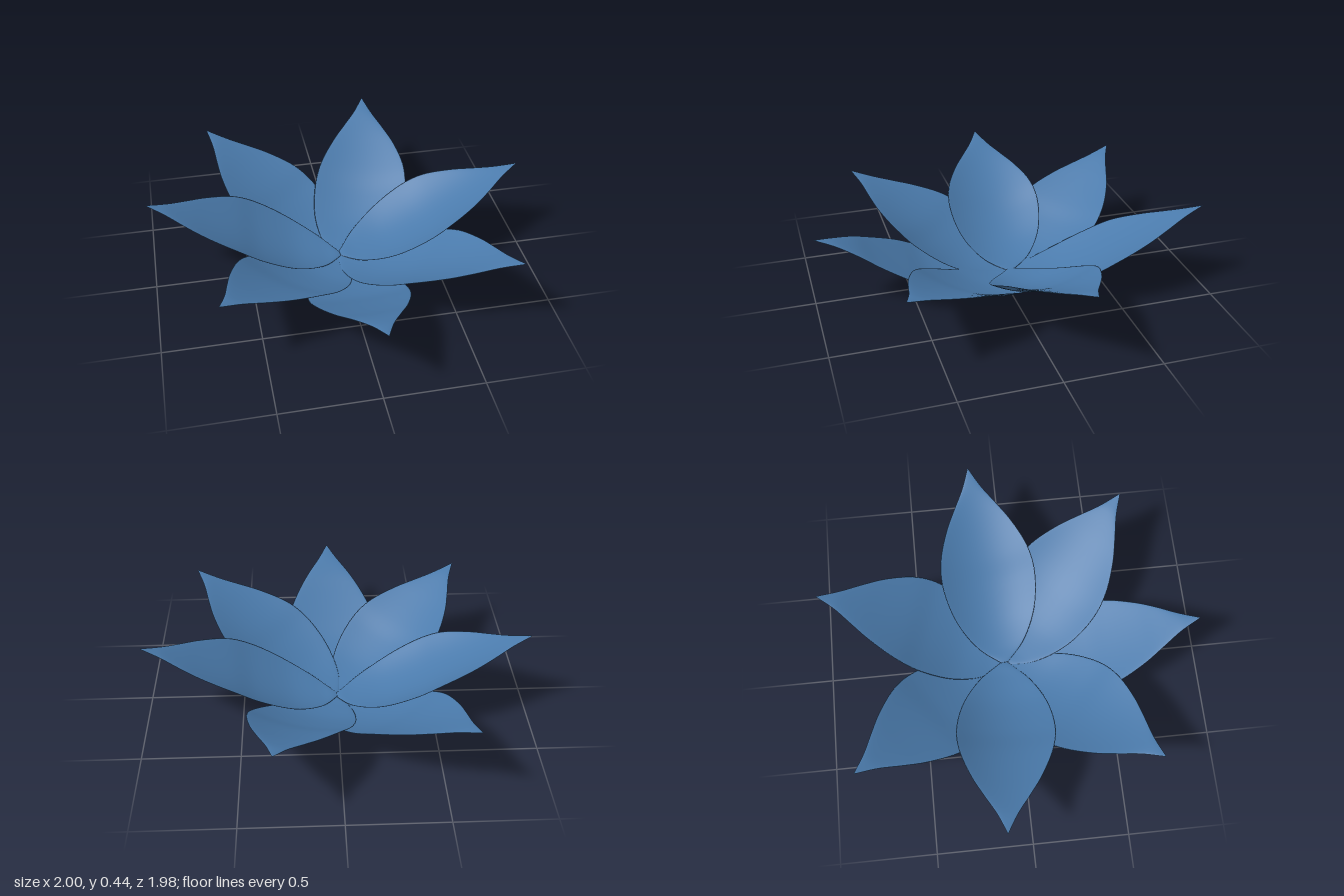
import * as THREE from 'three';

const HALF_THICK = 0.007;
const BASE = new THREE.Vector3(0, 0, -0.05);
const ROWS = 44;
const RING = 36;

// Along a petal: distance from the base, half width, rise of the midrib
const petalProfile = new THREE.CatmullRomCurve3([
  [0, 0.02, 0], [0.1, 0.13, 0.008], [0.25, 0.22, 0.042], [0.42, 0.257, 0.12],
  [0.55, 0.241, 0.2], [0.7, 0.178, 0.285], [0.8, 0.117, 0.34], [0.9, 0.052, 0.39], [1, 0.002, 0.43],
].map((p) => new THREE.Vector3(...p)));

// The front petal lies lower and flattens toward its tip
const lowProfile = new THREE.CatmullRomCurve3([
  [0, 0.02, 0], [0.1, 0.13, 0.004], [0.25, 0.22, 0.028], [0.42, 0.257, 0.08],
  [0.55, 0.241, 0.15], [0.7, 0.178, 0.235], [0.8, 0.117, 0.295], [0.9, 0.052, 0.34], [1, 0.002, 0.37],
].map((p) => new THREE.Vector3(...p)));

// Cupped, pointed petal: lens-shaped cross-sections lofted along the midrib
function petalGeometry({ tip, lift, cup, width = 1, bend = 0, profile = petalProfile }) {
  const dx = tip[0] - BASE.x, dz = tip[2] - BASE.z;
  const length = Math.hypot(dx, dz);
  const ux = dx / length, uz = dz / length;
  const tipRise = profile.getPoint(1).z;
  const rise = (tip[1] - lift - HALF_THICK) / tipRise;
  const positions = [], indices = [];

  for (let i = 0; i <= ROWS; i++) {
    const p = profile.getPoint(i / ROWS);
    const along = p.x * length;
    const half = Math.max(p.y, 0.002) * width;
    const sway = bend * Math.sin(Math.PI * p.x);
    const cupHere = cup * (half / 0.257) ** 2;
    const thick = HALF_THICK * Math.min(1, half / 0.05);
    for (let j = 0; j < RING; j++) {
      const a = (j / RING) * Math.PI * 2;
      const s = Math.cos(a);
      const across = s * half + sway;
      positions.push(
        BASE.x + ux * along - uz * across,
        HALF_THICK + lift + p.z * rise + cupHere * s * s + thick * Math.sin(a),
        BASE.z + uz * along + ux * across,
      );
      if (i < ROWS) {
        const k = i * RING + j, n = i * RING + ((j + 1) % RING);
        indices.push(k, k + RING, n, n, k + RING, n + RING);
      }
    }
  }
  // Close both ends
  const last = ROWS * RING;
  for (let j = 1; j < RING - 1; j++) {
    indices.push(0, j, j + 1, last, last + j + 1, last + j);
  }

  const geometry = new THREE.BufferGeometry();
  geometry.setAttribute('position', new THREE.Float32BufferAttribute(positions, 3));
  geometry.setIndex(indices);
  geometry.computeVertexNormals();
  return geometry;
}

export function createModel() {
  const group = new THREE.Group();
  group.name = 'flower';
  const petalBlue = new THREE.MeshStandardMaterial({ color: 0x4a7aab });
  petalBlue.name = 'petalBlue';

  // Seven petals, from the lowest layer to the highest
  const petals = {
    frontPetal: { tip: [0.02, 0.38, 0.98], lift: 0, cup: 0.03, profile: lowProfile },
    backRightPetal: { tip: [-0.63, 0.41, -0.85], lift: 0.004, cup: 0.05, width: 1.02 },
    backLeftPetal: { tip: [0.32, 0.435, -1.0], lift: 0.008, cup: 0.05, bend: 0.06 },
    frontRightPetal: { tip: [-0.7, 0.41, 0.68], lift: 0.012, cup: 0.06, width: 1.04 },
    frontLeftPetal: { tip: [0.77, 0.41, 0.66], lift: 0.016, cup: 0.06, width: 1.05 },
    rightPetal: { tip: [-1, 0.44, -0.13], lift: 0.022, cup: 0.08 },
    leftPetal: { tip: [1, 0.43, -0.15], lift: 0.026, cup: 0.08 },
  };
  for (const [name, options] of Object.entries(petals)) {
    const mesh = new THREE.Mesh(petalGeometry(options), petalBlue);
    mesh.name = name;
    group.add(mesh);
  }
  return group;
}
